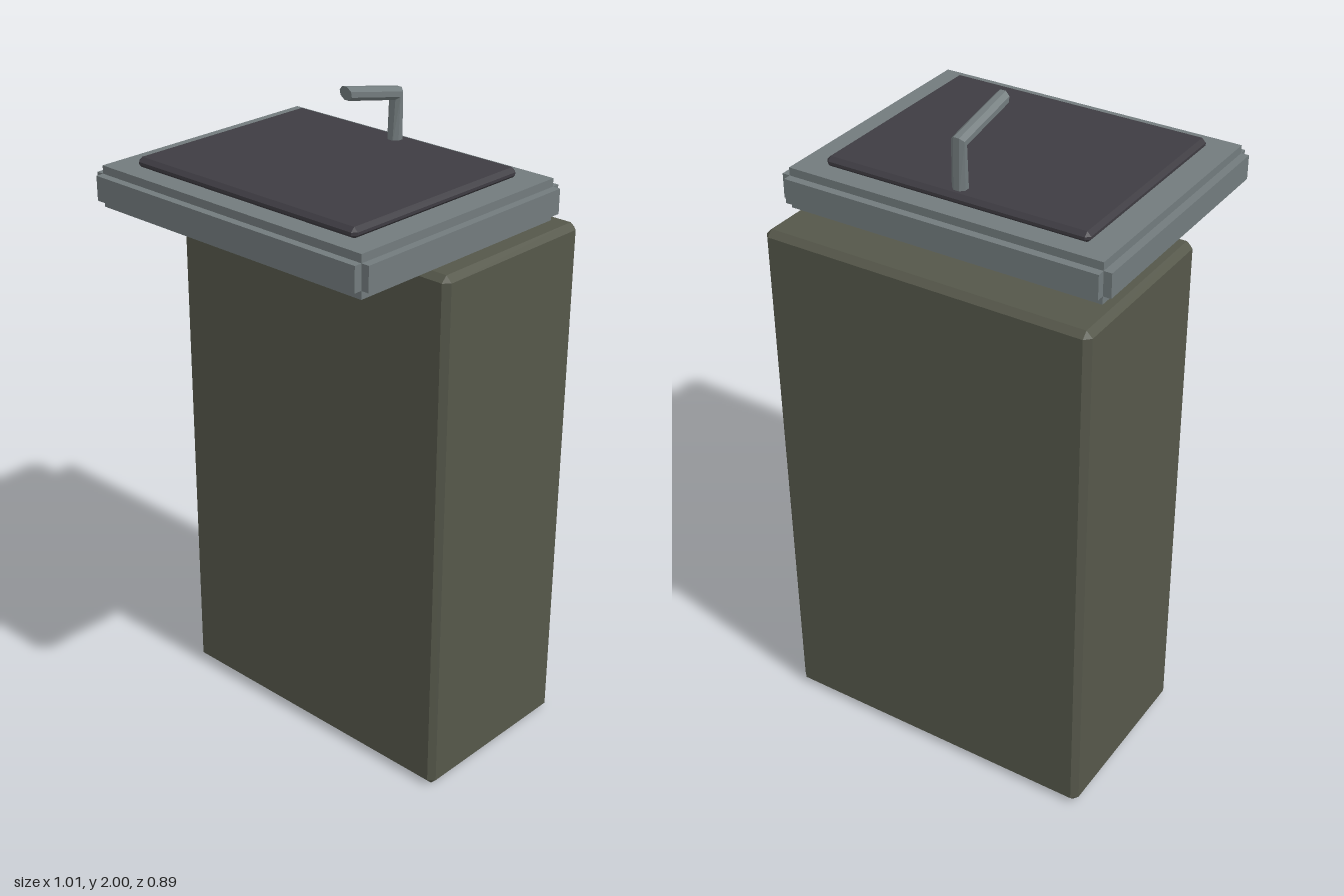
import * as THREE from 'three';
import { ConvexGeometry } from 'three/addons/geometries/ConvexGeometry.js';

const material = (name, color) => {
  const m = new THREE.MeshStandardMaterial({ color });
  m.name = name;
  return m;
};

// Box between two corners with every edge chamfered by c
function chamferBox(min, max, c) {
  const points = [];
  for (let i = 0; i < 8; i++) {
    for (let axis = 0; axis < 3; axis++) {
      // One point on each of the three faces meeting at this corner
      const p = [0, 1, 2].map((k) => {
        const high = (i >> k) & 1;
        const inset = k === axis ? 0 : c;
        return high ? max[k] - inset : min[k] + inset;
      });
      points.push(new THREE.Vector3(...p));
    }
  }
  return new ConvexGeometry(points);
}

function plainBox(min, max) {
  const size = max.map((v, k) => v - min[k]);
  const mid = max.map((v, k) => (v + min[k]) / 2);
  return new THREE.BoxGeometry(...size).translate(...mid);
}

// Eight-sided tube through rings { y, z, dy, dz }, where (dy, dz) is the half depth
function tapGeometry(rings, halfWidth, sides = 8) {
  const positions = [];
  const indices = [];
  for (const r of rings) {
    for (let i = 0; i < sides; i++) {
      const a = ((i + 0.5) / sides) * Math.PI * 2;
      const c = Math.cos(a) / Math.cos(Math.PI / sides);
      const s = Math.sin(a) / Math.cos(Math.PI / sides);
      positions.push(halfWidth * c, r.y + r.dy * s, r.z + r.dz * s);
    }
  }
  for (let j = 0; j < rings.length - 1; j++) {
    for (let i = 0; i < sides; i++) {
      const a = j * sides + i;
      const b = j * sides + ((i + 1) % sides);
      indices.push(a, a + sides, b, b, a + sides, b + sides);
    }
  }
  // End caps
  const last = (rings.length - 1) * sides;
  for (let i = 1; i < sides - 1; i++) {
    indices.push(0, i, i + 1);
    indices.push(last, last + i + 1, last + i);
  }
  const g = new THREE.BufferGeometry();
  g.setAttribute('position', new THREE.Float32BufferAttribute(positions, 3));
  g.setIndex(indices);
  const flat = g.toNonIndexed();
  flat.computeVertexNormals();
  return flat;
}

export function createModel() {
  const group = new THREE.Group();
  group.name = 'washStand';

  const olive = material('olive cabinet', 0x55574a);
  const grey = material('grey stone', 0x727b7d);
  const dark = material('dark basin', 0x3e3c42);
  dark.side = grey.side = THREE.DoubleSide;

  const add = (name, geometry, mat, parent = group) => {
    const mesh = new THREE.Mesh(geometry, mat);
    mesh.name = name;
    parent.add(mesh);
  };

  // Tall cabinet
  add('cabinet', chamferBox([-0.506, 0, -0.447], [0.506, 1.63, 0.121], 0.018), olive);

  // Counter slab: three crossing boxes give the stepped edges
  const counter = new THREE.Group();
  counter.name = 'counter';
  group.add(counter);
  const lo = [-0.483, 1.682, -0.343];
  const hi = [0.483, 1.754, 0.421];
  const step = 0.024;
  ['counterSides', 'counterTopAndBottom', 'counterFrontAndBack'].forEach((name, axis) => {
    const min = lo.map((v, k) => (k === axis ? v - step : v));
    const max = hi.map((v, k) => (k === axis ? v + step : v));
    add(name, plainBox(min, max), grey, counter);
  });

  // Dark basin plate
  add('basin', chamferBox([-0.407, 1.774, -0.285], [0.407, 1.806, 0.364], 0.012), dark);

  // Bent tap
  add('tap', tapGeometry([
    { y: 1.79, z: -0.243, dy: 0, dz: 0.021 },
    { y: 1.937, z: -0.246, dy: -0.016, dz: 0.013 },
    { y: 1.979, z: -0.04, dy: -0.02, dz: -0.004 },
  ], 0.021), grey);

  return group;
}
